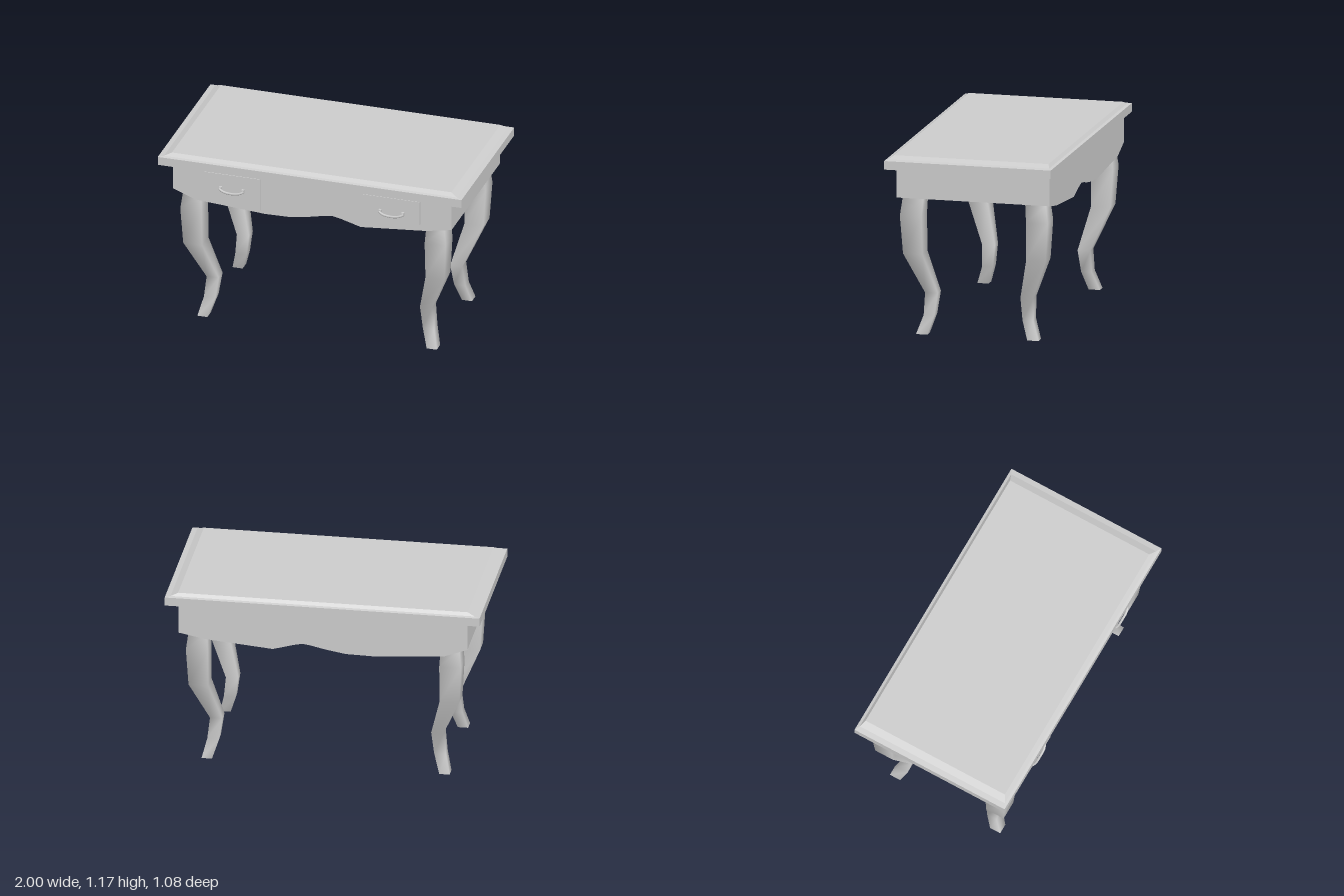
import * as THREE from 'three';
import { mergeVertices } from 'three/addons/utils/BufferGeometryUtils.js';

const smooth = new THREE.MeshStandardMaterial({ color: 0xcccccc });
const flat = new THREE.MeshStandardMaterial({ color: 0xcccccc, flatShading: true });

function addMesh(parent, name, geometry, material) {
  const mesh = new THREE.Mesh(geometry, material);
  mesh.name = name;
  parent.add(mesh);
  return mesh;
}

// Closed loft through rectangular sections [y, x0, x1, z0, z1], bottom to top.
function loftRects(sections) {
  const positions = [];
  const index = [];
  const corners = ([y, x0, x1, z0, z1]) => [
    [x0, y, z1], [x1, y, z1], [x1, y, z0], [x0, y, z0],
  ];
  sections.forEach((s) => corners(s).forEach((c) => positions.push(...c)));
  for (let i = 0; i < sections.length - 1; i++) {
    for (let j = 0; j < 4; j++) {
      const a = i * 4 + j;
      const b = i * 4 + ((j + 1) % 4);
      index.push(a, b, b + 4, a, b + 4, a + 4);
    }
  }
  // End caps get their own corners so their edges stay sharp.
  const base = sections.length * 4;
  [sections[0], sections[sections.length - 1]].forEach((s) =>
    corners(s).forEach((c) => positions.push(...c)));
  index.push(base, base + 2, base + 1, base, base + 3, base + 2);
  index.push(base + 4, base + 5, base + 6, base + 4, base + 6, base + 7);
  const geometry = new THREE.BufferGeometry();
  geometry.setAttribute('position', new THREE.Float32BufferAttribute(positions, 3));
  geometry.setIndex(index);
  geometry.computeVertexNormals();
  return geometry;
}

// Extrudes an outline in x/y from z0 to z1.
function slab(points, z0, z1) {
  const shape = new THREE.Shape(points.map(([x, y]) => new THREE.Vector2(x, y)));
  const geometry = new THREE.ExtrudeGeometry(shape, { depth: z1 - z0, bevelEnabled: false });
  return geometry.translate(0, 0, z0);
}

// Leg sections: y, inner x, outer x, inner z, outer z (front +x leg).
const LEG = [
  [0, 0.722, 0.788, 0.324, 0.397],
  [0.12, 0.683, 0.758, 0.286, 0.355],
  [0.26, 0.663, 0.742, 0.268, 0.350],
  [0.53, 0.735, 0.860, 0.336, 0.462],
  [0.775, 0.735, 0.874, 0.339, 0.479],
  [0.89, 0.742, 0.860, 0.330, 0.464],
];
const LEG_Z_SHIFT = -0.008;

function legGeometry(sx, sz) {
  return loftRects(LEG.map(([y, xi, xo, zi, zo]) => {
    const xs = [xi * sx, xo * sx].sort((a, b) => a - b);
    const zs = [zi * sz + LEG_Z_SHIFT, zo * sz + LEG_Z_SHIFT].sort((a, b) => a - b);
    return [y, ...xs, ...zs];
  }));
}

// Drooping pull on two small mounts, centred on its own origin.
function createHandle() {
  const handle = new THREE.Group();
  handle.name = 'drawerHandle';
  const path = new THREE.CatmullRomCurve3([
    [-0.08, 0.008, 0.016], [-0.055, -0.004, 0.024], [0, -0.012, 0.025],
    [0.055, -0.004, 0.024], [0.08, 0.008, 0.016],
  ].map((p) => new THREE.Vector3(...p)));
  addMesh(handle, 'handleGrip', mergeVertices(new THREE.TubeGeometry(path, 12, 0.008, 6)), smooth);
  for (const s of [-1, 1]) {
    const mount = addMesh(handle, 'handleMount', new THREE.BoxGeometry(0.016, 0.026, 0.02), flat);
    mount.position.set(s * 0.074, 0.007, 0.009);
  }
  return handle;
}

export function createModel() {
  const desk = new THREE.Group();
  desk.name = 'writingDesk';

  // Table top with a shallow mitred bevel.
  addMesh(desk, 'tableTop', loftRects([
    [1.094, -1, 1, -0.54, 0.54],
    [1.149, -1, 1, -0.54, 0.54],
    [1.154, -0.965, 0.965, -0.522, 0.522],
    [1.172, -0.92, 0.92, -0.505, 0.497],
  ]).toNonIndexed(), flat);

  // Body with a scalloped lower edge, running through to the back.
  addMesh(desk, 'apron', slab([
    [-0.918, 1.095], [-0.918, 0.915], [-0.767, 0.858], [-0.54, 0.843],
    [-0.313, 0.827], [-0.147, 0.83], [-0.02, 0.851], [0.08, 0.873],
    [0.13, 0.88], [0.18, 0.87], [0.318, 0.831], [0.746, 0.868],
    [0.916, 0.9], [0.916, 1.095],
  ], -0.51, 0.482), flat);

  // Raised drawer fronts with slanted lower edges.
  const drawers = [
    { name: 'rightDrawer', x0: -0.715, x1: -0.341, y0: 0.874, y1: 0.852 },
    { name: 'leftDrawer', x0: 0.337, x1: 0.711, y0: 0.876, y1: 0.91 },
  ];
  for (const { name, x0, x1, y0, y1 } of drawers) {
    const drawer = new THREE.Group();
    drawer.name = name;
    addMesh(drawer, 'drawerFront',
      slab([[x0, y0], [x1, y1], [x1, 1.071], [x0, 1.071]], 0.47, 0.5), flat);
    const handle = createHandle();
    handle.position.set((x0 + x1) / 2 + 0.005, 0.967, 0.5);
    drawer.add(handle);
    desk.add(drawer);
  }

  // Four curved tapering legs.
  for (const sx of [-1, 1]) {
    for (const sz of [-1, 1]) {
      const name = (sz > 0 ? 'front' : 'back') + (sx > 0 ? 'Left' : 'Right') + 'Leg';
      addMesh(desk, name, legGeometry(sx, sz), smooth);
    }
  }
  return desk;
}
